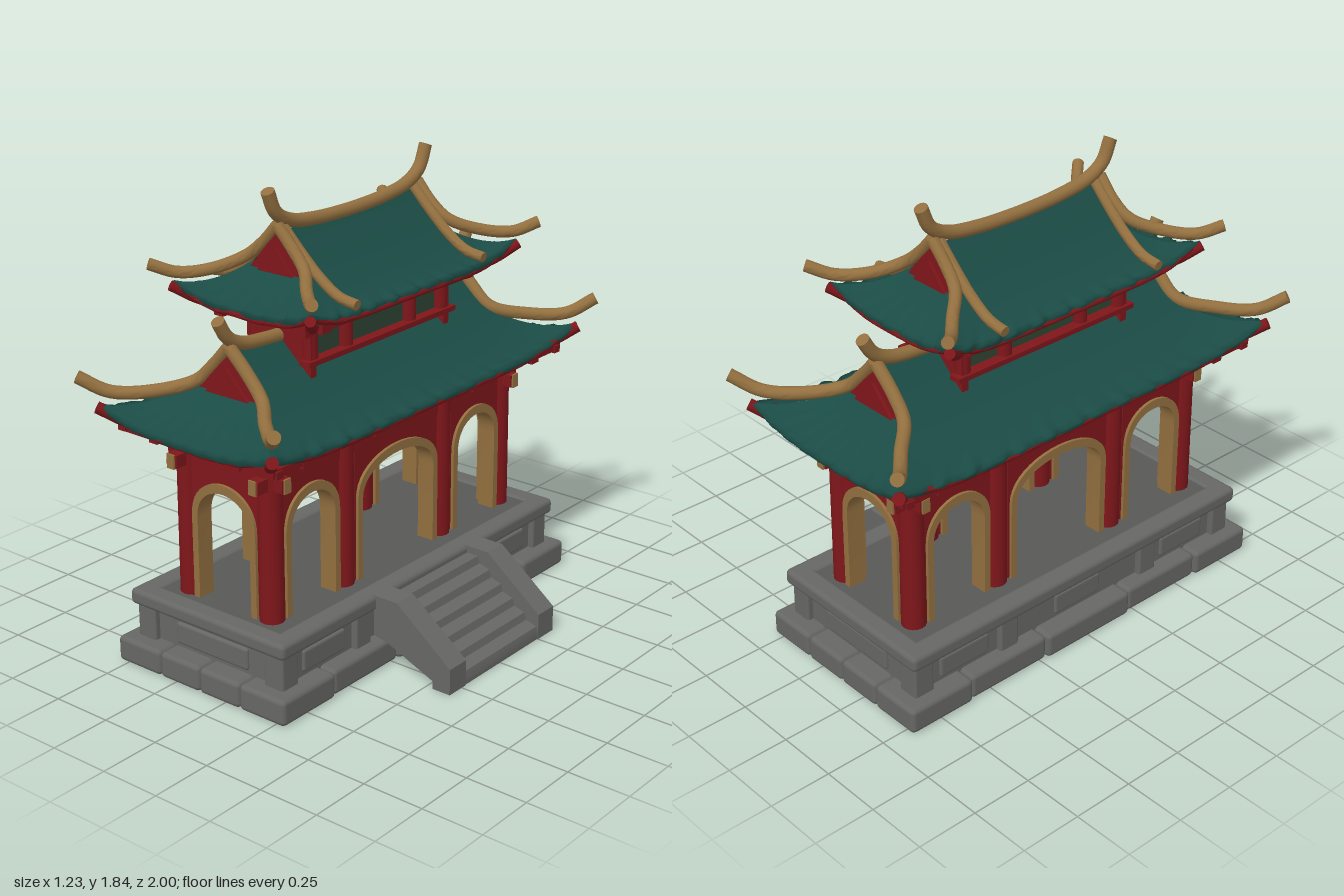
import * as THREE from 'three';
import { toCreasedNormals } from 'three/addons/utils/BufferGeometryUtils.js';
import { RoundedBoxGeometry } from 'three/addons/geometries/RoundedBoxGeometry.js';
import { ParametricGeometry } from 'three/addons/geometries/ParametricGeometry.js';

const mat = (name, color, side = THREE.FrontSide) => {
  const m = new THREE.MeshStandardMaterial({ color, side });
  m.name = name;
  return m;
};
const stone = mat('grey stone', 0x666664);
const paving = mat('dark paving', 0x585856);
const red = mat('red timber', 0x7e161a);
const gold = mat('ochre gold', 0x926f3f);
const green = mat('green tile', 0x1b4b45, THREE.DoubleSide);
const olive = mat('dark green panel', 0x2f4433);

const V = (x, y, z) => new THREE.Vector3(x, y, z);
const toShape = pts => new THREE.Shape(pts.map(([x, y]) => new THREE.Vector2(x, y)));

function add(parent, name, geo, material, x = 0, y = 0, z = 0) {
  const mesh = new THREE.Mesh(geo, material);
  mesh.name = name;
  mesh.position.set(x, y, z);
  parent.add(mesh);
  return mesh;
}
const box = (p, name, m, w, h, d, x, y, z) => add(p, name, new THREE.BoxGeometry(w, h, d), m, x, y, z);
const block = (p, name, w, h, d, x, y, z, r = 0.02) =>
  add(p, name, new RoundedBoxGeometry(w, h, d, 2, r), stone, x, y, z);

// Round bar swept along a smooth curve, with closed ends
function bar(parent, name, points, radius, material) {
  const shape = new THREE.Shape().absarc(0, 0, radius, 0, Math.PI * 2);
  const geo = new THREE.ExtrudeGeometry(shape, {
    steps: points.length * 5, curveSegments: 8, bevelEnabled: false,
    extrudePath: new THREE.CatmullRomCurve3(points),
  });
  return add(parent, name, toCreasedNormals(geo, 0.95), material);
}

function extrudeZ(shape, depth) {
  const geo = new THREE.ExtrudeGeometry(shape, { depth, bevelEnabled: false });
  geo.translate(0, 0, -depth / 2);
  return toCreasedNormals(geo, 0.6);
}

// Outline of an arched opening standing on the platform
function archPoints(half, spring, rise) {
  const pts = [[-half, 0.29]];
  for (let i = 0; i <= 20; i++) {
    const a = Math.PI * (1 - i / 20);
    pts.push([half * Math.cos(a), spring + rise * Math.sin(a) ** 0.85]);
  }
  pts.push([half, 0.29]);
  return pts;
}

// One bay: red spandrel wall with a gold arch lining
function archBay(parent, width, x, z, turned) {
  const bay = new THREE.Group();
  bay.name = 'archBay';
  const h = width / 2;
  const outer = archPoints(h - 0.008, 0.62, 0.163);
  const inner = archPoints(h - 0.036, 0.62, 0.127);
  const wall = toShape([...outer, [h, 0.29], [h, 0.84], [-h, 0.84], [-h, 0.29]]);
  add(bay, 'spandrel', extrudeZ(wall, 0.05), red);
  add(bay, 'archLining', extrudeZ(toShape([...outer, ...inner.reverse()]), 0.075), gold);
  bay.position.set(x, 0, z);
  if (turned) bay.rotation.y = Math.PI / 2;
  parent.add(bay);
}

// Hip-and-gable roof: two main slopes, two end skirts, eave timbers and gables
function buildRoof(parent, name, { W, L, zg, xh, ridge, eave, lift, ruffles }) {
  const roof = new THREE.Group();
  roof.name = name;
  parent.add(roof);
  const height = a => eave + (ridge - eave) * Math.max(0, 1 - a / W) ** 1.5;
  const point = (isEnd, sign, s, t, out, lip = 0) => {
    const a = isEnd ? xh + (W - xh) * t : W * t;
    const k = Math.max(0, (a - xh) / (W - xh));
    const along = zg + (L - zg) * k;
    const wave = Math.sin(s * ruffles * (isEnd ? 0.6 : 1)) + 0.6 * Math.sin(s * ruffles * 1.7 + 1);
    const ruffle = k ** (isEnd ? 3 : 7) * (1 - s ** 8) * wave;
    const y = height(a) + lift * k * k * Math.abs(s) ** (isEnd ? 3 : 6) + 0.005 * ruffle - lip * 0.026;
    const push = 0.006 * ruffle - lip * 0.012;
    if (isEnd) return out.set(s * a, y, sign * (along + push));
    return out.set(sign * (a + push), y, s * along);
  };
  for (const sign of [1, -1]) for (const isEnd of [false, true]) {
    const rows = 16, last = (rows - 1) / rows;
    const geo = new ParametricGeometry((u, v, out) =>
      point(isEnd, sign, u * 2 - 1, Math.min(1, v / last), out, Math.max(0, (v - last) * rows)), isEnd ? 50 : 90, rows);
    geo.computeVertexNormals();
    add(roof, isEnd ? 'endSkirt' : 'mainSlope', geo, green);
    // Red timber under the eave
    const edge = [];
    for (let i = 0; i <= 10; i++) {
      const p = point(isEnd, sign, i / 5 - 1, 1, V());
      edge.push(V(p.x * 0.95, p.y - 0.024, p.z * 0.97));
    }
    bar(roof, 'eaveTimber', edge, 0.012, red);
  }
  for (const s of [1, -1]) {
    // Gable with raised inner board
    const base = height(xh) - 0.02;
    const tri = f => toShape([[-xh * f, base], [xh * f, base], [0, base + (ridge - base) * f]]);
    add(roof, 'gable', extrudeZ(tri(1), 0.03), red, 0, 0, s * (zg + 0.005));
    add(roof, 'gableBoard', extrudeZ(tri(0.65), 0.02), red, 0, 0, s * (zg + 0.022));
  }
  return roof;
}

function buildPlatform(parent) {
  const g = new THREE.Group();
  g.name = 'platform';
  parent.add(g);
  const longSplits = [-0.895, -0.6, -0.22, 0.22, 0.6, 0.895];
  const shortSplits = [-0.42, -0.2, 0, 0.2, 0.42];
  for (const s of [1, -1]) {
    for (let i = 0; i < 5; i++) {
      const [a, b] = [longSplits[i], longSplits[i + 1]], out = i % 2 ? 0.41 : 0.42;
      block(g, 'footing', 0.12, 0.105, b - a, s * (out - 0.06), 0.0525, (a + b) / 2);
    }
    for (let i = 0; i < 4; i++) {
      const [a, b] = [shortSplits[i], shortSplits[i + 1]];
      block(g, 'endFooting', b - a, 0.105, 0.12, (a + b) / 2, 0.0525, s * 0.835);
    }
    box(g, 'sideWall', stone, 0.03, 0.17, 1.62, s * 0.325, 0.17, 0);
    box(g, 'endWall', stone, 0.66, 0.17, 0.03, 0, 0.17, s * 0.795);
    for (const z of [-0.79, -0.37, 0.37, 0.79]) block(g, 'post', 0.09, 0.15, 0.09, s * 0.32, 0.17, z, 0.01);
    for (const z of [-0.58, 0, 0.58]) block(g, 'sidePanel', 0.03, 0.09, 0.24, s * 0.335, 0.165, z, 0.012);
    block(g, 'endPanel', 0.36, 0.09, 0.03, 0, 0.165, s * 0.807, 0.012);
    block(g, 'sideRim', 0.09, 0.065, 1.71, s * 0.34, 0.268, 0);
    block(g, 'endRim', 0.77, 0.065, 0.09, 0, 0.268, s * 0.81);
  }
  box(g, 'floor', paving, 0.66, 0.03, 1.6, 0, 0.277, 0);

  // Stair: worn stepped slab, open underneath, between two sloping cheek walls
  const steps = [[0.37, 0.13], [0.37, 0.27]];
  for (let i = 0; i <= 5; i++) {
    const x = 0.44 + i * 0.057, y = 0.272 - i * 0.044;
    steps.push([x, y], [x + 0.008, y - 0.03]);
  }
  steps.push([0.732, 0], [0.66, 0]);
  add(g, 'steps', extrudeZ(toShape(steps), 0.49), stone, 0, 0, -0.01);
  const rail = toShape([[0.36, 0.3], [0.36, 0.235], [0.46, 0.225], [0.655, 0.07], [0.655, 0],
    [0.735, 0], [0.735, 0.105], [0.485, 0.3]]);
  const infill = toShape([[0.36, 0.24], [0.36, 0.12], [0.42, 0.11], [0.66, 0.01], [0.66, 0.08], [0.46, 0.23]]);
  for (const z of [0.275, -0.3]) {
    add(g, 'stairRail', extrudeZ(rail, 0.1), stone, 0, 0, z);
    add(g, 'stairInfill', extrudeZ(infill, 0.06), stone, 0, 0, z);
  }
}

function buildLowerStorey(parent) {
  const g = new THREE.Group();
  g.name = 'lowerStorey';
  parent.add(g);
  for (const s of [1, -1]) {
    for (const z of [-0.7, -0.3, 0.3, 0.7])
      add(g, 'column', new THREE.CylinderGeometry(0.045, 0.048, 0.69, 16), red, s * 0.2, 0.635, z);
    archBay(g, 0.51, s * 0.2, 0, true);
    for (const z of [-0.505, 0.505]) archBay(g, 0.32, s * 0.2, z, true);
    archBay(g, 0.33, 0, s * 0.7, false);
    // Crossing tie beams with gold ends
    box(g, 'longTieBeam', red, 0.05, 0.05, 1.58, s * 0.2, 0.845, 0);
    box(g, 'crossTieBeam', red, 0.56, 0.05, 0.05, 0, 0.845, s * 0.7);
    for (const e of [1, -1]) {
      box(g, 'beamEnd', gold, 0.034, 0.056, 0.008, s * 0.2, 0.845, e * 0.793);
      box(g, 'beamEnd', gold, 0.008, 0.056, 0.034, s * 0.283, 0.845, e * 0.7);
    }
    box(g, 'longFrieze', olive, 0.03, 0.08, 1.36, s * 0.2, 0.905, 0);
    box(g, 'endFrieze', olive, 0.36, 0.08, 0.03, 0, 0.905, s * 0.7);
    box(g, 'longPlate', red, 0.06, 0.04, 1.5, s * 0.2, 0.96, 0);
    // Outer eave purlins and their arms
    box(g, 'longPurlin', red, 0.035, 0.03, 1.76, s * 0.36, 0.968, 0);
    box(g, 'endPurlin', red, 0.77, 0.03, 0.035, 0, 0.962, s * 0.85);
    for (const z of [0.3, 0.7]) box(g, 'eaveArm', red, 0.76, 0.035, 0.045, 0, 0.958, s * z);
    for (const x of [-0.2, 0.2]) box(g, 'endArm', red, 0.04, 0.035, 0.2, x, 0.96, s * 0.78);
    for (const e of [1, -1])
      bar(g, 'hipRafter', [V(s * 0.2, 0.94, e * 0.7), V(s * 0.33, 0.975, e * 0.84), V(s * 0.425, 1.045, e * 0.935)], 0.023, red);
  }
}

function buildUpperStorey(parent) {
  const g = new THREE.Group();
  g.name = 'upperStorey';
  parent.add(g);
  box(g, 'wall', olive, 0.25, 0.3, 0.78, 0, 1.23, 0);
  for (const s of [1, -1]) {
    box(g, 'endWall', red, 0.31, 0.28, 0.03, 0, 1.24, s * 0.4);
    for (const z of [-0.39, -0.19, 0.19, 0.39])
      add(g, 'post', new THREE.CylinderGeometry(0.03, 0.03, 0.18, 12), red, s * 0.13, 1.285, z);
    box(g, 'sill', red, 0.05, 0.02, 0.88, s * 0.145, 1.199, 0);
    box(g, 'longBeam', red, 0.045, 0.05, 1.04, s * 0.2, 1.36, 0);
    box(g, 'crossBeam', red, 0.49, 0.055, 0.05, 0, 1.365, s * 0.43);
    box(g, 'endPurlin', red, 0.5, 0.03, 0.03, 0, 1.39, s * 0.54);
    for (const e of [1, -1])
      bar(g, 'hipRafter', [V(s * 0.2, 1.36, e * 0.45), V(s * 0.27, 1.39, e * 0.54), V(s * 0.335, 1.45, e * 0.625)], 0.02, red);
  }
}

export function createModel() {
  const model = new THREE.Group();
  model.name = 'pavilion';
  const body = new THREE.Group();
  body.name = 'body';
  body.position.x = -0.125;
  model.add(body);
  buildPlatform(body);
  buildLowerStorey(body);
  buildUpperStorey(body);

  const lower = buildRoof(body, 'lowerRoof',
    { W: 0.42, L: 0.935, zg: 0.67, xh: 0.16, ridge: 1.28, eave: 1.0, lift: 0.06, ruffles: 46 });
  const upper = buildRoof(body, 'upperRoof',
    { W: 0.33, L: 0.615, zg: 0.4, xh: 0.13, ridge: 1.665, eave: 1.415, lift: 0.055, ruffles: 34 });

  // Gold ridges with upswept tips, given as half profiles of [z, y]
  const ridge = (parent, half) => bar(parent, 'ridge',
    [...half.map(([z, y]) => V(0, y, -z)).reverse(), ...half.map(([z, y]) => V(0, y, z))], 0.026, gold);
  ridge(lower, [[0.2, 1.27], [0.5, 1.282], [0.62, 1.3], [0.69, 1.34], [0.735, 1.41]]);
  ridge(upper, [[0.06, 1.665], [0.2, 1.672], [0.34, 1.695], [0.42, 1.74], [0.46, 1.825]]);

  // Gold hips running down each gable and out to the corners
  for (const s of [1, -1]) for (const e of [1, -1]) {
    bar(lower, 'hip', [[0, 1.3, 0.68], [0.08, 1.215, 0.675], [0.16, 1.14, 0.69], [0.27, 1.105, 0.795],
      [0.39, 1.105, 0.9], [0.475, 1.165, 0.98]].map(([x, y, z]) => V(s * x, y, e * z)), 0.025, gold);
    bar(upper, 'hip', [[0, 1.69, 0.41], [0.07, 1.615, 0.41], [0.14, 1.555, 0.43], [0.23, 1.51, 0.52],
      [0.32, 1.5, 0.605], [0.39, 1.535, 0.68]].map(([x, y, z]) => V(s * x, y, e * z)), 0.023, gold);
    bar(upper, 'verge', [[0, 1.68], [0.08, 1.6], [0.17, 1.52], [0.26, 1.465], [0.345, 1.45]]
      .map(([x, y]) => V(s * x, y, e * 0.38)), 0.02, gold);
  }
  return model;
}
